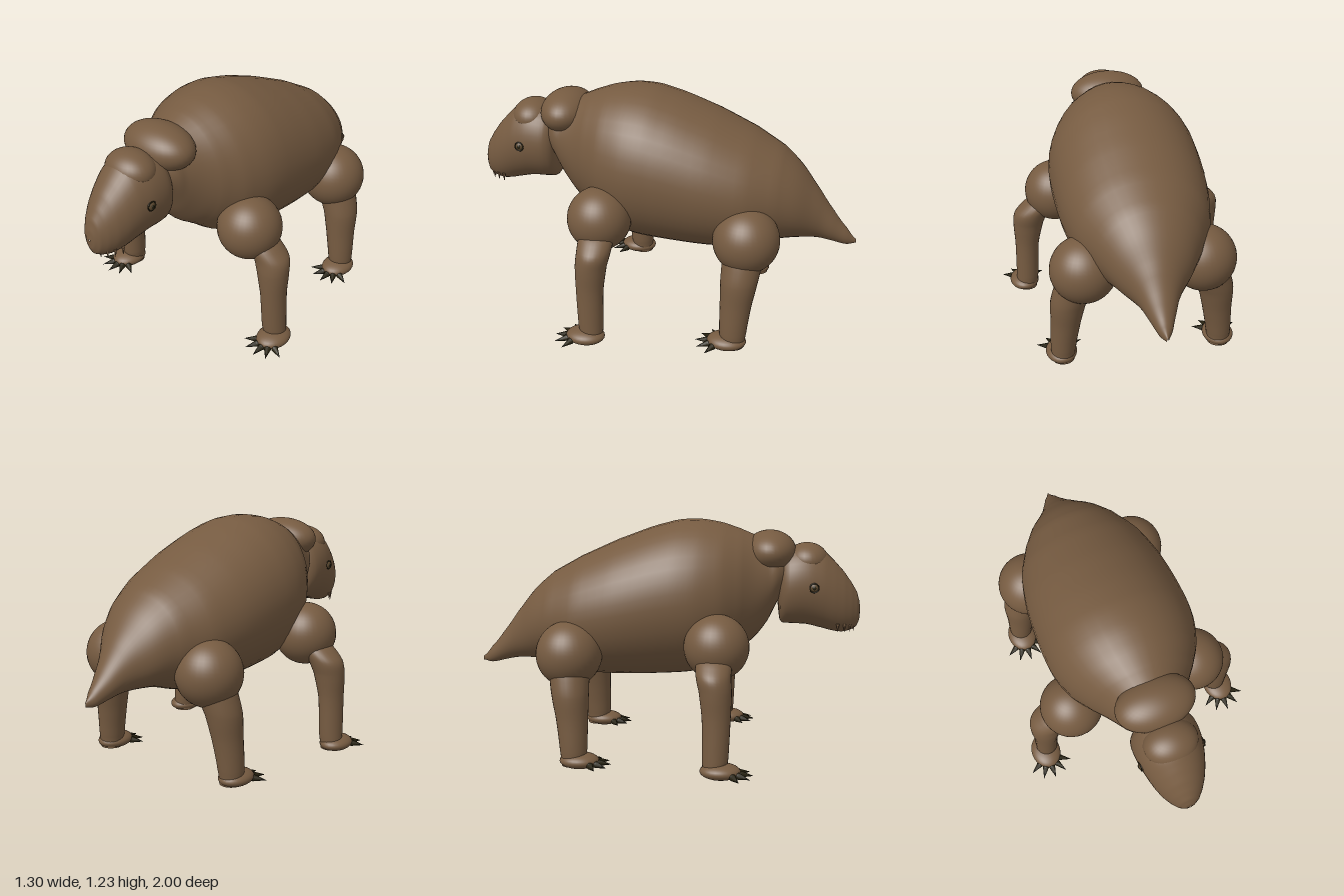
import * as THREE from 'three';

const hide = new THREE.MeshStandardMaterial({ name: 'brown hide', color: 0x765b41 });
const horn = new THREE.MeshStandardMaterial({ name: 'dark claw', color: 0x26210f });
const iris = new THREE.MeshStandardMaterial({ name: 'eye brown', color: 0x5e4a30 });

// Smooth skin over elliptical sections [along, u, v, radiusU, radiusV], ascending.
// axis 'z': u = x, v = y.  axis 'y': u = z, v = x.
function loft(sections, axis, sides = 40, steps = 5) {
  const n = (sections.length - 1) * steps;
  const at = (i, k) => sections[Math.min(Math.max(i, 0), sections.length - 1)][k];
  const pos = [], index = [];
  for (let r = 0; r <= n; r++) {
    const i = Math.min(Math.floor(r / steps), sections.length - 2), t = r / steps - i;
    const s = [0, 1, 2, 3, 4].map((k) => {
      const p1 = at(i, k), p2 = at(i + 1, k);
      if (k === 0) return p1 + (p2 - p1) * t;
      const m1 = (p2 - at(i - 1, k)) / 2, m2 = (at(i + 2, k) - p1) / 2;
      const t2 = t * t, t3 = t2 * t;
      return (2 * t3 - 3 * t2 + 1) * p1 + (t3 - 2 * t2 + t) * m1 + (3 * t2 - 2 * t3) * p2 + (t3 - t2) * m2;
    });
    for (let j = 0; j < sides; j++) {
      const a = (j / sides) * Math.PI * 2;
      const u = s[1] + Math.max(s[3], 0.001) * Math.cos(a), v = s[2] + Math.max(s[4], 0.001) * Math.sin(a);
      pos.push(...(axis === 'z' ? [u, v, s[0]] : [v, s[0], u]));
      if (r < n) {
        const p = r * sides + j, q = r * sides + (j + 1) % sides;
        index.push(p, q, p + sides, q, q + sides, p + sides);
      }
    }
  }
  const g = new THREE.BufferGeometry();
  g.setAttribute('position', new THREE.Float32BufferAttribute(pos, 3));
  g.setIndex(index);
  g.computeVertexNormals();
  return g;
}

// Sections given as [z, bottom, top, halfWidth]
const trunk = (rows) => loft(rows.map(([z, b, t, w]) => [z, 0, (b + t) / 2, w, (t - b) / 2]), 'z');

function add(parent, name, geometry, material) {
  const m = new THREE.Mesh(geometry, material);
  m.name = name;
  parent.add(m);
  return m;
}

function ball(parent, name, material, [x, y, z], [rx, ry, rz], detail = 28) {
  const m = add(parent, name, new THREE.SphereGeometry(1, detail, Math.ceil(detail * 0.7)), material);
  m.position.set(x, y, z);
  m.scale.set(rx, ry, rz);
  return m;
}

// Leg: hip ball, bent limb, flat foot and five fanned claws
function leg(name, side, spec) {
  const g = new THREE.Group();
  g.name = name;
  const [hx, hy, hz, hr] = spec.hip, [fx, fz] = spec.foot;
  ball(g, 'hip', hide, [side * hx, hy, hz], [hr, hr, hr], 36);
  add(g, 'limb', loft(spec.limb.map(([y, z, x, rz, rx]) => [y, z, side * x, rz, rx]), 'y', 28), hide);
  ball(g, 'foot', hide, [side * fx, 0.045, fz], [0.08, 0.04, 0.1]);
  for (const degrees of [-60, -30, 0, 30, 62]) {
    const a = (degrees * Math.PI) / 180;
    const dir = new THREE.Vector3(side * Math.sin(a), -0.12, Math.cos(a)).normalize();
    const base = new THREE.Vector3(side * fx, 0.042, fz + 0.03).addScaledVector(dir, 0.066);
    ball(g, 'claw root', horn, base.toArray(), [0.018, 0.017, 0.018], 10);
    const claw = add(g, 'claw', new THREE.ConeGeometry(0.018, 0.068, 8), horn);
    claw.position.copy(base).addScaledVector(dir, 0.034);
    claw.quaternion.setFromUnitVectors(new THREE.Vector3(0, 1, 0), dir);
  }
  return g;
}

const frontLeg = {
  hip: [0.34, 0.62, 0.27, 0.163],
  foot: [0.532, 0.3],
  limb: [[0.02, 0.27, 0.52, 0.055, 0.055], [0.1, 0.275, 0.514, 0.064, 0.061], [0.3, 0.278, 0.507, 0.07, 0.065],
    [0.43, 0.272, 0.495, 0.08, 0.082], [0.5, 0.262, 0.475, 0.086, 0.092], [0.56, 0.262, 0.42, 0.088, 0.09],
    [0.61, 0.265, 0.37, 0.07, 0.07]],
};
const backLeg = {
  hip: [0.3, 0.565, -0.475, 0.168],
  foot: [0.415, -0.41],
  limb: [[0.02, -0.44, 0.41, 0.06, 0.058], [0.1, -0.44, 0.407, 0.069, 0.065], [0.25, -0.448, 0.392, 0.08, 0.076],
    [0.37, -0.458, 0.378, 0.093, 0.09], [0.45, -0.465, 0.35, 0.1, 0.1], [0.55, -0.472, 0.31, 0.11, 0.11]],
};

export function createModel() {
  const model = new THREE.Group();
  model.name = 'animal';

  // Barrel body tapering into a short pointed tail
  add(model, 'body', trunk([
    [-1, 0.465, 0.485, 0.004], [-0.95, 0.455, 0.54, 0.035], [-0.88, 0.47, 0.625, 0.068], [-0.8, 0.485, 0.735, 0.112],
    [-0.7, 0.485, 0.86, 0.195], [-0.6, 0.47, 0.95, 0.262], [-0.45, 0.425, 1.035, 0.338], [-0.25, 0.412, 1.125, 0.38],
    [0, 0.42, 1.21, 0.393], [0.15, 0.435, 1.23, 0.382], [0.28, 0.485, 1.213, 0.34], [0.38, 0.56, 1.18, 0.275],
    [0.45, 0.61, 1.15, 0.22], [0.52, 0.7, 1.12, 0.18], [0.58, 0.82, 1.09, 0.15], [0.66, 0.9, 1.0, 0.06],
  ]), hide);

  // Head: deep cheeks, downturned rounded snout
  add(model, 'head', trunk([
    [0.565, 0.86, 0.95, 0.02], [0.585, 0.71, 1.06, 0.13], [0.63, 0.692, 1.09, 0.165], [0.72, 0.688, 1.1, 0.167],
    [0.8, 0.67, 1.075, 0.152], [0.86, 0.655, 1.02, 0.133], [0.91, 0.65, 0.965, 0.11], [0.95, 0.66, 0.91, 0.083],
    [0.98, 0.678, 0.86, 0.055], [0.995, 0.71, 0.81, 0.028], [1, 0.755, 0.765, 0.004],
  ]), hide);

  // Fleshy fold behind the head and the brow in front of it
  ball(model, 'neck fold', hide, [0, 1.065, 0.53], [0.2, 0.11, 0.135], 36);
  ball(model, 'brow', hide, [0, 1.02, 0.72], [0.135, 0.092, 0.11], 32);

  for (const side of [1, -1]) {
    const word = side > 0 ? 'left' : 'right';
    model.add(leg(word + ' front leg', side, frontLeg));
    model.add(leg(word + ' back leg', side, backLeg));

    // Eye with dark rim and pupil
    ball(model, word + ' eye', iris, [side * 0.155, 0.895, 0.752], [0.018, 0.024, 0.024], 16);
    const rim = add(model, word + ' eye rim', new THREE.TorusGeometry(0.023, 0.003, 6, 20), horn);
    rim.position.set(side * 0.164, 0.895, 0.752);
    rim.rotation.y = Math.PI / 2;
    ball(model, word + ' pupil', horn, [side * 0.171, 0.895, 0.752], [0.004, 0.01, 0.01], 10);

    // Small teeth along the upper lip
    for (const [x, z] of [[0.03, 0.965], [0.055, 0.945], [0.075, 0.915], [0.09, 0.88]]) {
      const tooth = add(model, word + ' tooth', new THREE.ConeGeometry(0.009, 0.045, 6), hide);
      tooth.position.set(side * x, 0.679, z);
      tooth.rotation.x = Math.PI;
    }
  }
  return model;
}
